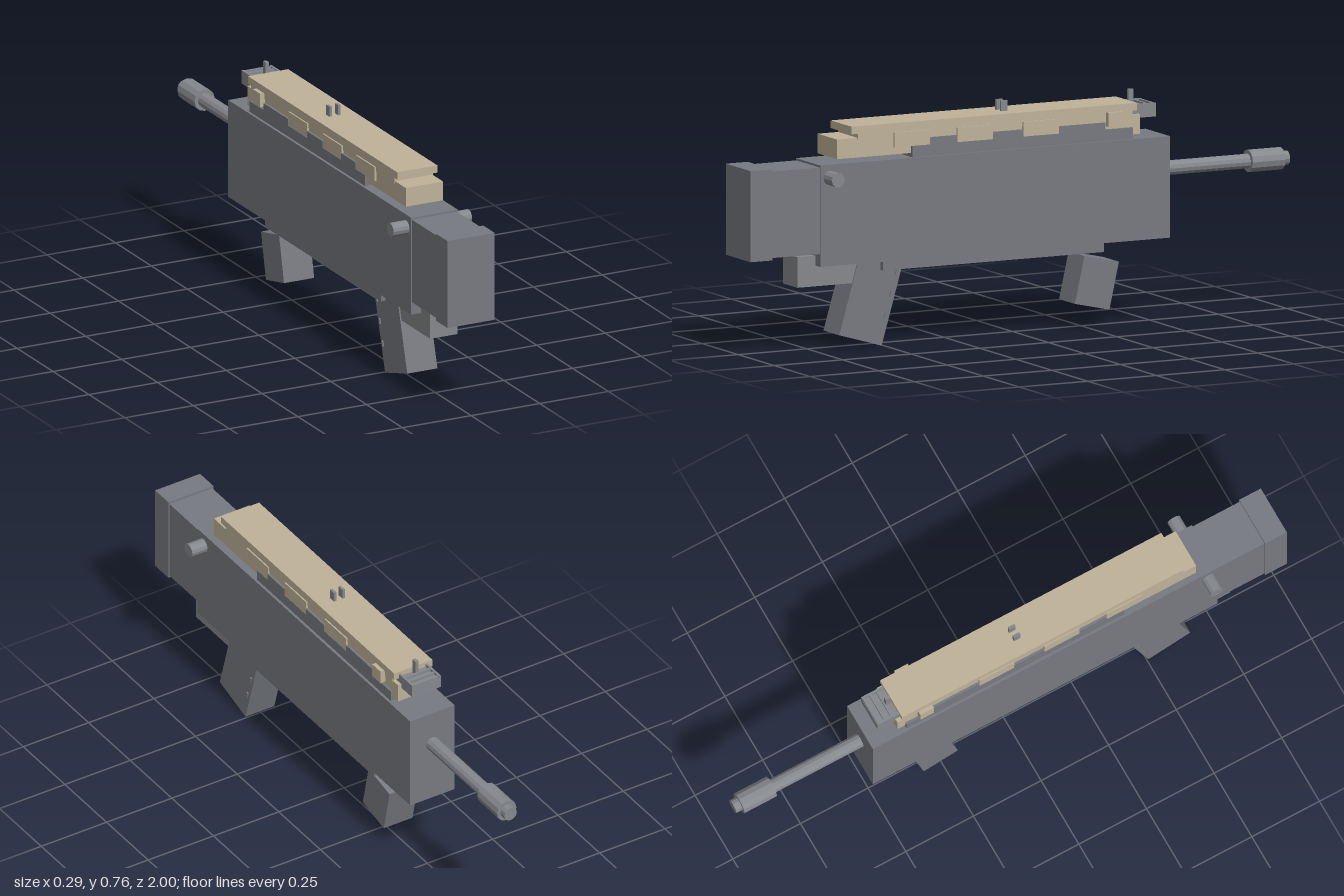
import * as THREE from 'three';

const GREY = new THREE.MeshStandardMaterial({ color: 0x777a80, flatShading: true });
const STEEL = new THREE.MeshStandardMaterial({ color: 0x85888d, flatShading: true });
const TAN = new THREE.MeshStandardMaterial({ color: 0xbfb299, flatShading: true });

export function createModel() {
  const model = new THREE.Group();

  const add = (name, geometry, material, x, y, z, parent = model) => {
    const mesh = new THREE.Mesh(geometry, material);
    mesh.name = name;
    mesh.position.set(x, y, z);
    parent.add(mesh);
    return mesh;
  };

  // Box given by half width and its y and z extents
  const block = (name, material, halfWidth, y0, y1, z0, z1, x = 0) =>
    add(name, new THREE.BoxGeometry(halfWidth * 2, y1 - y0, Math.abs(z1 - z0)),
      material, x, (y0 + y1) / 2, (z0 + z1) / 2);

  // Cylinder along z
  const rod = (name, radius, y, z0, z1) => {
    const g = new THREE.CylinderGeometry(radius, radius, Math.abs(z1 - z0), 12).rotateX(Math.PI / 2);
    return add(name, g, STEEL, 0, y, (z0 + z1) / 2);
  };

  // Body and stock
  block('body', GREY, 0.085, 0.283, 0.615, -0.53, 0.745);
  block('stock', GREY, 0.082, 0.325, 0.608, 0.74, 0.925);
  block('buttPlate', GREY, 0.086, 0.318, 0.616, 0.92, 1);
  block('rearLowerBlock', STEEL, 0.05, 0.215, 0.315, 0.5, 0.81);

  // Cross pin through the rear of the body
  add('crossPin', new THREE.CylinderGeometry(0.0235, 0.0235, 0.286, 12).rotateZ(Math.PI / 2),
    STEEL, 0, 0.572, 0.71);

  // Barrel
  rod('barrel', 0.024, 0.497, -0.5, -0.87);
  rod('muzzle', 0.037, 0.497, -0.857, -0.977);
  rod('muzzleTip', 0.024, 0.497, -0.97, -1);

  // Underside
  block('lowerRail', GREY, 0.073, 0.252, 0.29, -0.295, 0.51);
  add('lowerButton', new THREE.CylinderGeometry(0.03, 0.03, 0.02, 16), STEEL, 0, 0.255, 0.175);

  // Raked grips
  const grip = add('rearGrip', new THREE.BoxGeometry(0.11, 0.32, 0.161), GREY, 0, 0.18, 0.538);
  grip.rotation.x = -0.285;
  for (const side of [-1, 1]) {
    for (let i = 0; i < 3; i++) {
      add('gripStud', new THREE.BoxGeometry(0.012, 0.02, 0.008),
        GREY, side * 0.054, 0.082 - i * 0.073, -0.066, grip);
    }
  }
  const fore = add('foreGrip', new THREE.BoxGeometry(0.11, 0.158, 0.129), GREY, 0, 0.15, -0.279);
  fore.rotation.x = -0.22;

  // Top handguard: grey base with teeth, tan core and cover
  block('upperBase', GREY, 0.076, 0.61, 0.652, -0.4, 0.405);
  for (const [z0, z1] of [[0.24, 0.34], [0, 0.11], [-0.3, -0.13]]) {
    block('baseTooth', GREY, 0.076, 0.65, 0.675, z0, z1);
  }
  for (const [z0, z1] of [[0.34, 0.47], [0.11, 0.24], [-0.13, 0]]) {
    block('sidePanel', TAN, 0.075, 0.652, 0.7, z0, z1);
  }
  block('upperCore', TAN, 0.068, 0.628, 0.692, -0.43, 0.675);
  block('coverNeck', TAN, 0.07, 0.685, 0.708, -0.4, 0.6);
  block('cover', TAN, 0.073, 0.706, 0.731, -0.415, 0.625);
  for (const side of [-1, 1]) {
    block('sideLug', TAN, 0.01, 0.662, 0.708, -0.355, -0.305, side * 0.077);
  }

  // Rear sight posts
  for (const side of [-1, 1]) {
    block('rearSightPost', STEEL, 0.0045, 0.725, 0.765, 0.028, 0.052, side * 0.016);
  }

  // Front sight with a raised rim, slats and post
  block('frontSightBase', STEEL, 0.055, 0.678, 0.713, -0.495, -0.4);
  for (const side of [-1, 1]) {
    block('sightRim', STEEL, 0.004, 0.71, 0.723, -0.495, -0.415, side * 0.051);
  }
  for (const z of [-0.49, -0.465, -0.44]) {
    block('sightSlat', STEEL, 0.051, 0.71, 0.722, z - 0.004, z + 0.004);
  }
  block('frontSightPost', STEEL, 0.006, 0.71, 0.765, -0.438, -0.42);

  return model;
}
